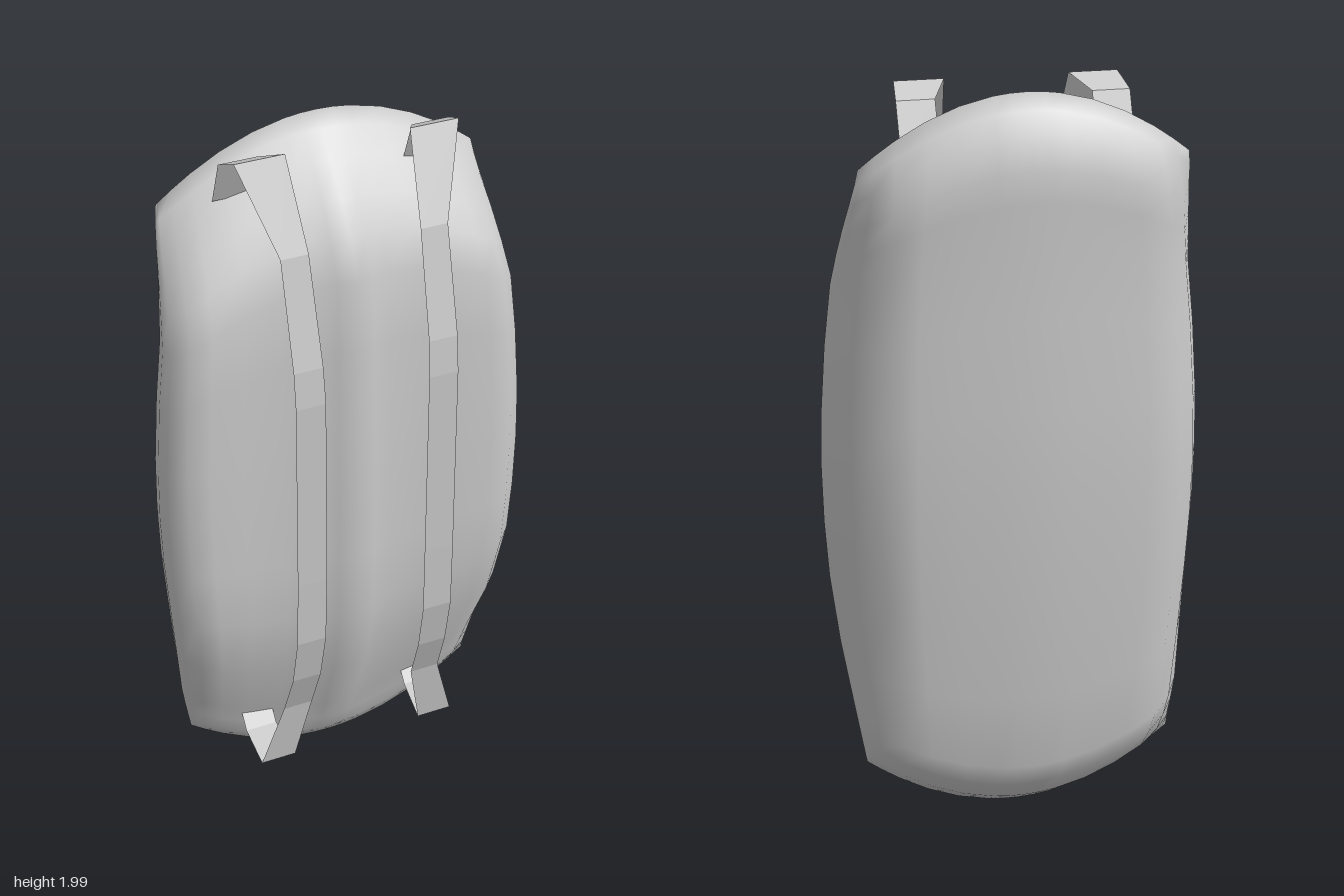
import * as THREE from 'three';
import { mergeVertices } from 'three/addons/utils/BufferGeometryUtils.js';

const lerp = THREE.MathUtils.lerp;

// Height fraction, front depth and back depth along the middle of the pad
const PROFILE = [
  [0, -0.065, -0.065], [0.02, -0.035, -0.125], [0.05, -0.008, -0.172], [0.085, 0.018, -0.205],
  [0.19, 0.1, -0.222], [0.3, 0.143, -0.235], [0.4, 0.145, -0.242], [0.5, 0.145, -0.246],
  [0.6, 0.142, -0.244], [0.72, 0.133, -0.234], [0.82, 0.123, -0.228], [0.87, 0.075, -0.228],
  [0.91, 0.025, -0.225], [0.95, -0.045, -0.2], [0.98, -0.1, -0.165], [1, -0.13, -0.13],
];

// Half of the cross-section: width fraction, depth fraction (0 back, 1 front)
const HALF = [
  [0, 1], [0.1, 0.955], [0.2, 0.915], [0.4, 0.897], [0.6, 0.9], [0.78, 0.91], [0.9, 0.885], [0.98, 0.78],
  [1, 0.69], [0.98, 0.56], [0.9, 0.3], [0.78, 0.1], [0.6, 0.055], [0.4, 0.025], [0.2, 0.008], [0.1, 0.003], [0, 0],
];

// Quads between consecutive rows of points
function gridGeometry(rows, closed) {
  const n = rows[0].length, index = [];
  for (let i = 0; i < rows.length - 1; i++) {
    for (let j = 0; j < (closed ? n : n - 1); j++) {
      const k = (j + 1) % n;
      const a = i * n + j, b = i * n + k, c = b + n, d = a + n;
      index.push(a, b, c, a, c, d);
    }
  }
  const geometry = new THREE.BufferGeometry();
  geometry.setAttribute('position', new THREE.Float32BufferAttribute(rows.flat(2), 3));
  geometry.setIndex(index);
  return geometry;
}

// Soft pad: loops of the cross-section, with bowed top and bottom edges
function padGeometry() {
  const mirrored = HALF.slice(1, -1).reverse().map(([x, k]) => [-x, k]);
  const loop = [...HALF, ...mirrored];
  const rows = PROFILE.map(([s, front, back]) => {
    const width = 0.51 - 0.085 * (2 * s - 1) ** 2;
    return loop.map(([fx, k]) => {
      const x = fx * width;
      const bow = 0.17 * (x / 0.425) ** 2;
      return [x, lerp(0.01 + bow, 1.995 - bow, s), lerp(back, front, k)];
    });
  });
  const geometry = mergeVertices(gridGeometry(rows, true), 1e-4);
  geometry.computeVertexNormals();
  return geometry;
}

// Strap path from lower to upper anchor: inner x, outer x, y, z
const STRAP = [
  [0.2, 0.29, 0.23, -0.02], [0.2, 0.29, 0.18, 0.02], [0.19, 0.29, 0.155, 0.135],
  [0.15, 0.232, 0.36, 0.163], [0.145, 0.226, 0.5, 0.215], [0.142, 0.224, 0.65, 0.245],
  [0.14, 0.222, 0.85, 0.249], [0.14, 0.22, 1.4, 0.247], [0.142, 0.22, 1.5, 0.236],
  [0.147, 0.22, 1.78, 0.163], [0.162, 0.292, 2, 0.06],
  [0.203, 0.303, 1.965, -0.015], [0.203, 0.303, 1.84, -0.065],
];

function strapGeometry(side) {
  const rows = STRAP.map(([inner, outer, y, z]) => {
    const edge = [[inner * side, y, z], [outer * side, y, z]];
    return side > 0 ? edge : edge.reverse();
  });
  const geometry = gridGeometry(rows, false);
  geometry.computeVertexNormals();
  return geometry;
}

export function createModel() {
  const model = new THREE.Group();
  model.name = 'backpack';

  const pad = new THREE.Mesh(padGeometry(), new THREE.MeshStandardMaterial({ color: 0xcccccc }));
  pad.name = 'bag';
  model.add(pad);

  const strapMaterial = new THREE.MeshStandardMaterial({
    color: 0xcccccc, side: THREE.DoubleSide, flatShading: true,
  });
  for (const side of [1, -1]) {
    const strap = new THREE.Mesh(strapGeometry(side), strapMaterial);
    strap.name = side > 0 ? 'leftStrap' : 'rightStrap';
    model.add(strap);
  }
  return model;
}
